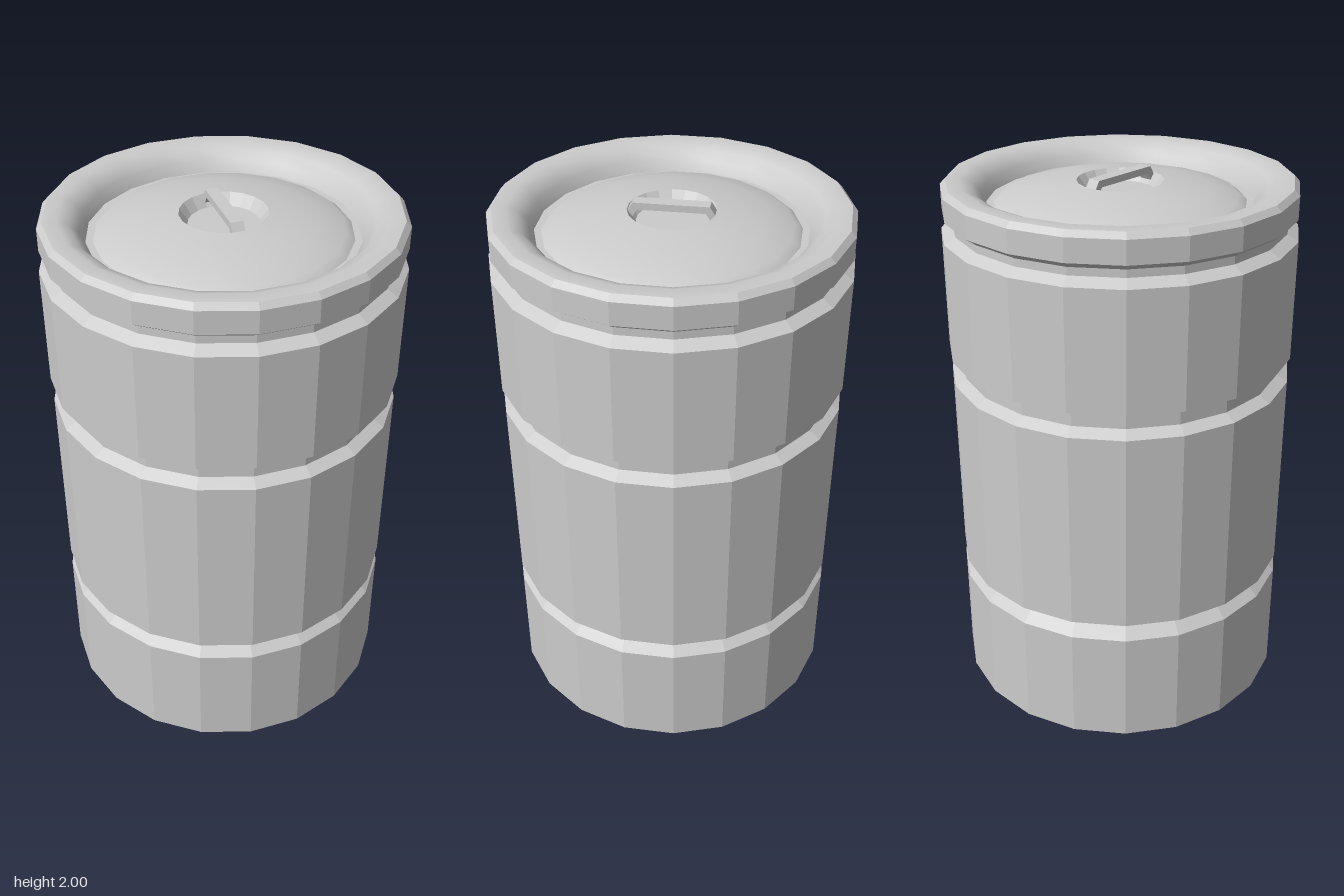
import * as THREE from 'three';

const SIDES = 20;

// Turn a profile of [radius, height] pairs around the y axis
function lathe(name, profile, flatShading) {
  const points = profile.map(([r, y]) => new THREE.Vector2(r, y));
  const material = new THREE.MeshStandardMaterial({ color: 0xcccccc, flatShading, side: THREE.DoubleSide });
  const mesh = new THREE.Mesh(new THREE.LatheGeometry(points, SIDES), material);
  mesh.name = name;
  return mesh;
}

export function createModel() {
  const drum = new THREE.Group();
  drum.name = 'drum';

  // Open-bottomed wall with two hoop grooves and a neck under the rim
  drum.add(lathe('wall', [
    [0.635, 0], [0.635, 0.44], [0.592, 0.48], [0.635, 0.51],
    [0.635, 1.27], [0.595, 1.295], [0.595, 1.342], [0.64, 1.365],
    [0.64, 1.805], [0.6, 1.83], [0.6, 1.858], [0.634, 1.882],
    [0.634, 1.965], [0.615, 1.985],
  ], true));

  // Rounded rim falling inwards to the lid
  drum.add(lathe('rim', [
    [0.615, 1.985], [0.565, 1.986], [0.525, 1.97], [0.495, 1.94], [0.475, 1.9],
  ], false));

  // Seam between rim and lid
  drum.add(lathe('lidSeam', [[0.475, 1.9], [0.45, 1.9]], true));

  // Shallow domed lid
  drum.add(lathe('lid', [
    [0.45, 1.9], [0.42, 1.923], [0.33, 1.948], [0.24, 1.965], [0.155, 1.975],
  ], false));

  // Recess in the middle of the lid
  drum.add(lathe('handleRecess', [[0.155, 1.975], [0.125, 1.935], [0, 1.935]], true));

  // Bridge handle with sloping ends across the recess
  const width = 0.046;
  const bridge = new THREE.Shape([
    [-0.152, 1.968], [-0.132, 2], [0.132, 2], [0.152, 1.968], [0.134, 1.95],
    [0.118, 1.975], [-0.118, 1.975], [-0.134, 1.95],
  ].map(([x, y]) => new THREE.Vector2(x, y)));
  const bar = new THREE.ExtrudeGeometry(bridge, { depth: width, bevelEnabled: false });
  bar.translate(0, 0, -width / 2);
  const handle = new THREE.Mesh(bar, new THREE.MeshStandardMaterial({ color: 0xcccccc, flatShading: true }));
  handle.name = 'handle';
  handle.rotation.y = Math.PI / 2 - 0.15;
  drum.add(handle);

  return drum;
}
